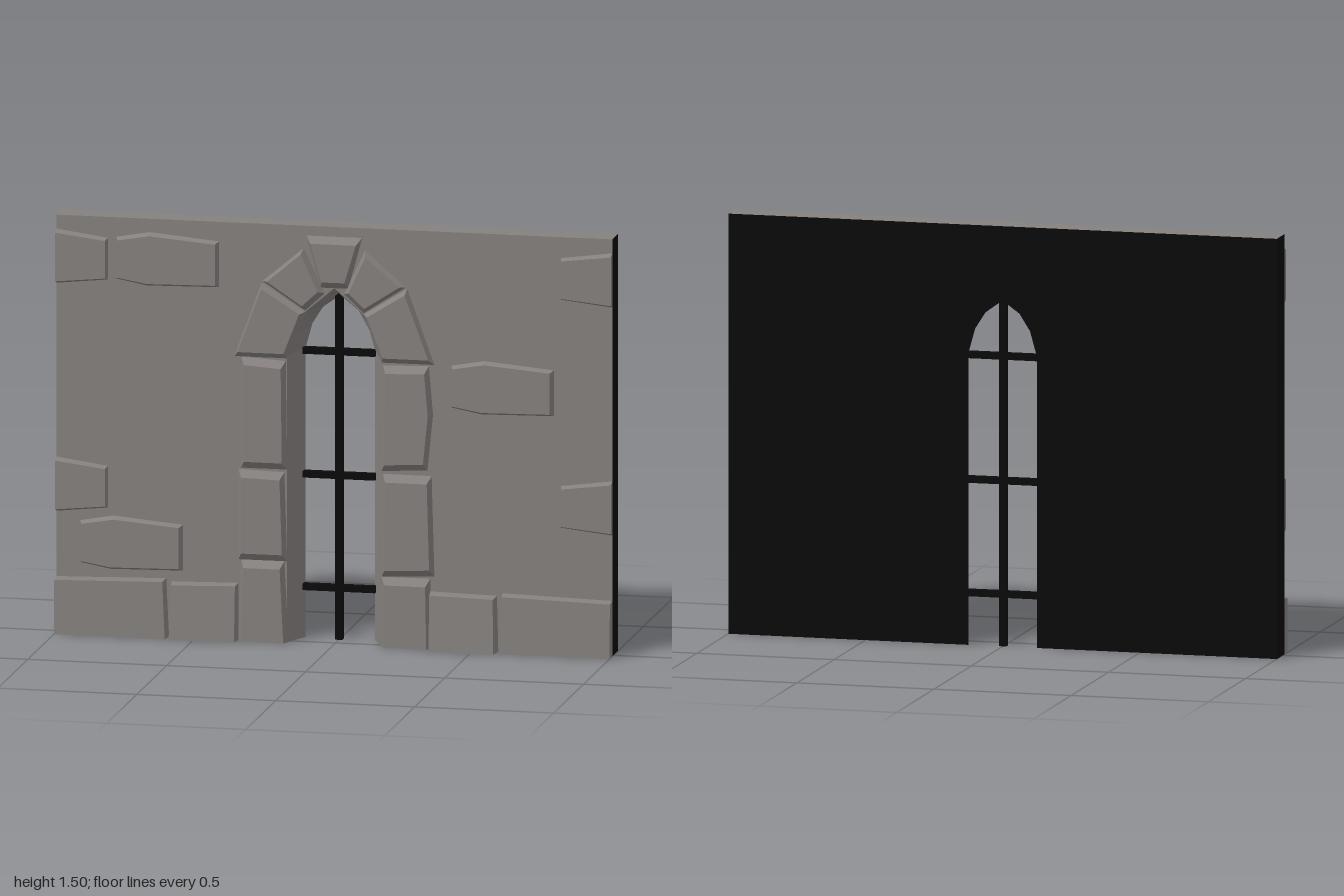
import * as THREE from 'three';

const stone = new THREE.MeshStandardMaterial({ color: 0x85807e, flatShading: true });
stone.name = 'stone';
const dark = new THREE.MeshStandardMaterial({ color: 0x0a0a0a, flatShading: true });
dark.name = 'dark';

const FRONT = 0.02, BACK = -0.08, RELIEF = 0.045;

function meshFrom(name, positions, material) {
  const g = new THREE.BufferGeometry();
  g.setAttribute('position', new THREE.Float32BufferAttribute(positions, 3));
  g.computeVertexNormals();
  const m = new THREE.Mesh(g, material);
  m.name = name;
  return m;
}

// Joins two matching counter-clockwise loops, a behind b, facing outwards.
function quad(out, a0, a1, b0, b1) {
  out.push(...a0, ...a1, ...b1, ...a0, ...b1, ...b0);
}

// Bevelled block standing out of the wall; depth gives z over its face.
function block(name, outline, insetX, insetY, depth = () => RELIEF) {
  const pts = outline.map(p => new THREE.Vector2(...p));
  if (THREE.ShapeUtils.isClockWise(pts)) pts.reverse();
  const box = new THREE.Box2().setFromPoints(pts);
  const c = box.getCenter(new THREE.Vector2()), s = box.getSize(new THREE.Vector2());
  const base = pts.map(p => [p.x, p.y, FRONT]);
  const face = pts.map(p => {
    // Edges on the wall's ends and floor stay flush
    const x = Math.abs(p.x) === 1 ? p.x : c.x + (p.x - c.x) * (1 - 2 * insetX / s.x);
    const y = p.y === 0 ? 0 : c.y + (p.y - c.y) * (1 - 2 * insetY / s.y);
    return [x, y, depth(x, y)];
  });
  const out = [];
  for (let i = 0; i < pts.length; i++) {
    const j = (i + 1) % pts.length;
    quad(out, base[i], base[j], face[i], face[j]);
    if (i > 0 && j > 0) out.push(...face[0], ...face[i], ...face[j]);
  }
  return meshFrom(name, out, stone);
}

// Wall with a pointed opening that narrows towards the back
function wall() {
  const group = new THREE.Group();
  group.name = 'wall';
  const mirror = half => [...half, ...half.slice(0, -1).reverse().map(([x, y]) => [-x, y])];
  const outer = [[1, 0], [1, 1.5], [-1, 1.5], [-1, 0]];
  const front = [...outer, ...mirror([[-0.17, 0], [-0.17, 1.03], [-0.145, 1.1], [-0.105, 1.19], [0, 1.28]])];
  const back = [...outer, ...mirror([[-0.125, 0], [-0.125, 1.04], [-0.1, 1.13], [-0.062, 1.19], [0, 1.235]])];
  const cap = pts => new THREE.ShapeGeometry(new THREE.Shape(pts.map(p => new THREE.Vector2(...p))));

  const frontFace = new THREE.Mesh(cap(front), stone);
  frontFace.name = 'wallFront';
  frontFace.position.z = FRONT;
  // The outline is symmetric, so a half turn gives the rear face
  const backFace = new THREE.Mesh(cap(back), dark);
  backFace.name = 'wallBack';
  backFace.rotation.y = Math.PI;
  backFace.position.z = BACK;

  const edges = [], ends = [];
  front.forEach((p, i) => {
    const j = (i + 1) % front.length;
    const isEnd = Math.abs(p[0]) === 1 && p[0] === front[j][0];
    quad(isEnd ? ends : edges, [...back[i], BACK], [...back[j], BACK], [...p, FRONT], [...front[j], FRONT]);
  });
  group.add(frontFace, backFace, meshFrom('wallEdgesAndReveal', edges, stone), meshFrom('wallEnds', ends, dark));
  return group;
}

// Stones framing the opening
function surround() {
  const group = new THREE.Group();
  group.name = 'archSurround';
  const jambs = [
    [[-0.335, 0.29], [-0.18, 0.29], [-0.165, 0], [-0.345, 0]],
    [[-0.345, 0.615], [-0.18, 0.61], [-0.17, 0.29], [-0.345, 0.29]],
    [[-0.335, 1.02], [-0.175, 1.01], [-0.17, 0.62], [-0.335, 0.62]],
    [[0.17, 0.25], [0.345, 0.25], [0.35, 0], [0.17, 0]],
    [[0.175, 0.62], [0.35, 0.62], [0.36, 0.26], [0.17, 0.25]],
    [[0.175, 1.01], [0.34, 1.015], [0.355, 0.84], [0.335, 0.64], [0.17, 0.63]],
  ];
  jambs.forEach((p, i) => group.add(block('jambStone' + (i + 1), p, 0.014, 0.026)));
  const lower = [[-0.262, 1.29], [-0.105, 1.19], [-0.17, 1.02], [-0.36, 1.02]];
  const upper = [[-0.258, 1.295], [-0.11, 1.42], [-0.035, 1.26], [-0.105, 1.195]];
  for (const s of [1, -1]) {
    const flip = pts => pts.map(([x, y]) => [s * x, y]);
    group.add(block('lowerArchStone', flip(lower), 0.017, 0.02));
    group.add(block('upperArchStone', flip(upper), 0.02, 0.02));
  }
  group.add(block('keystone', [[-0.1, 1.465], [0.1, 1.465], [0.05, 1.28], [-0.05, 1.28]], 0.018, 0.024));
  return group;
}

// Scattered bricks showing on the wall face
function bricks() {
  const group = new THREE.Group();
  group.name = 'wallBricks';
  for (const [x, y] of [[-0.785, 1.26], [-0.915, 0.235], [0.42, 0.85]]) {
    const p = [[0, 0.02], [0.11, 0], [0.37, 0.005], [0.37, 0.17], [0.12, 0.192], [0, 0.17]];
    group.add(block('brick', p.map(q => [q[0] + x, q[1] + y]), 0.01, 0.01));
  }
  for (const [s, y] of [[-1, 1.255], [1, 1.255], [-1, 0.435], [1, 0.435]]) {
    const p = [[s, y], [s * 0.815, y + 0.02], [s * 0.815, y + 0.17], [s, y + 0.195]];
    group.add(block('endBrick', p, 0.006, 0.01));
  }
  return group;
}

// Sloping foot course on both sides
function plinth() {
  const group = new THREE.Group();
  group.name = 'plinth';
  for (const s of [1, -1]) {
    const flip = pts => pts.map(([x, y]) => [s * x, y]);
    group.add(block('outerFootStone', flip([[1, 0], [1, 0.2], [0.605, 0.21], [0.595, 0]]), 0.006, 0.006,
      (x, y) => 0.066 - 0.03 * y));
    group.add(block('innerFootStone', flip([[0.59, 0], [0.585, 0.2], [0.345, 0.205], [0.345, 0]]), 0.006, 0.006,
      (x, y) => 0.08 - 0.075 * y - (s < 0 ? 0.05 * (0.59 + x) : 0)));
  }
  return group;
}

// Iron bars across the opening
function grille() {
  const group = new THREE.Group();
  group.name = 'windowBars';
  const bar = (name, w, h, y) => {
    const m = new THREE.Mesh(new THREE.BoxGeometry(w, h, 0.024), dark);
    m.name = name;
    m.position.set(0, y, -0.066);
    group.add(m);
  };
  bar('uprightBar', 0.026, 1.25, 0.625);
  for (const y of [0.185, 0.59, 1.035]) bar('crossBar', 0.26, 0.024, y);
  return group;
}

export function createModel() {
  const model = new THREE.Group();
  model.name = 'stoneWallWithArchedWindow';
  model.add(wall(), surround(), bricks(), plinth(), grille());
  return model;
}
